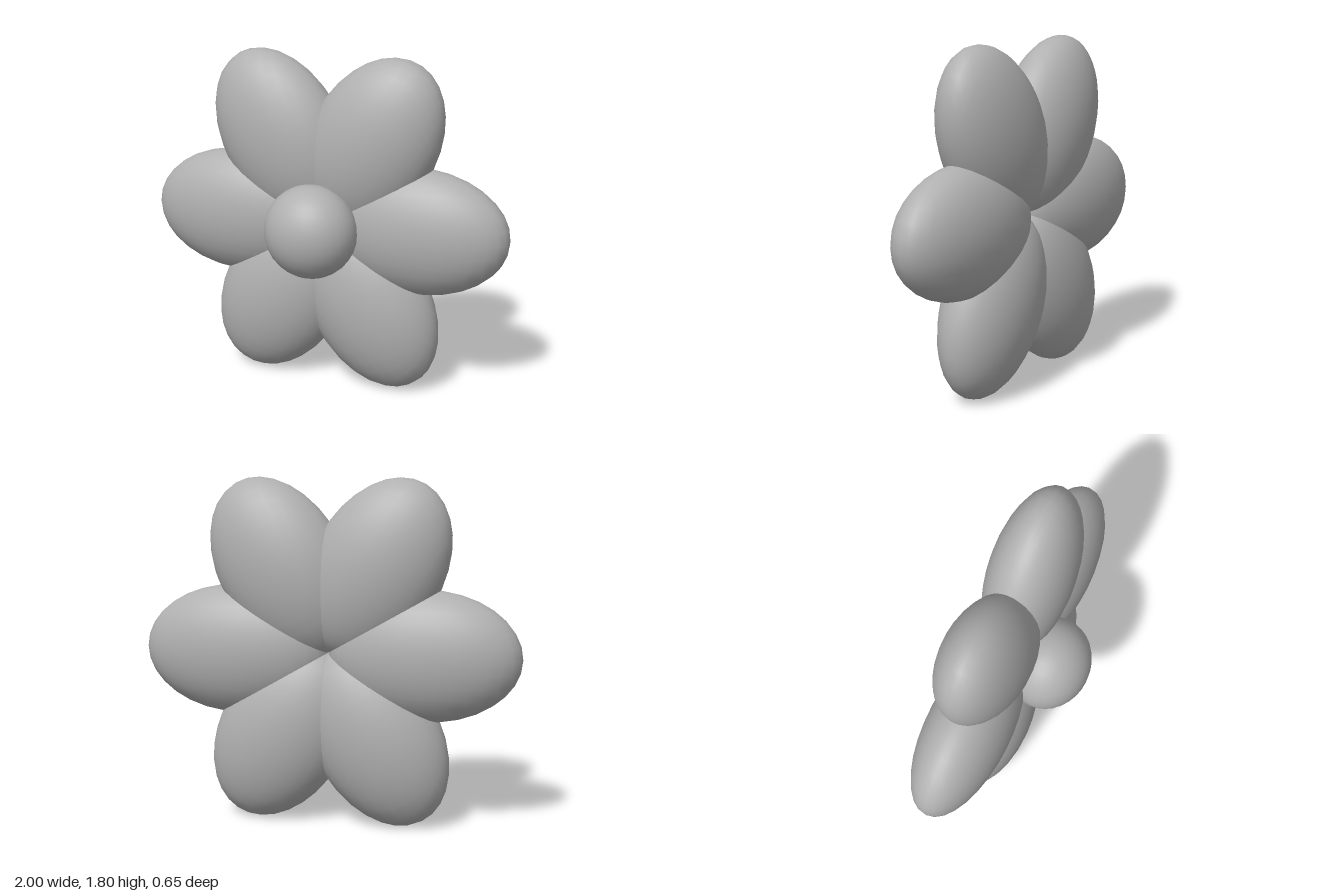
import * as THREE from 'three';

export function createModel() {
  const flower = new THREE.Group();
  flower.name = 'flower';

  const grey = new THREE.MeshStandardMaterial({ color: 0xb0b0b0 });
  grey.name = 'grey';

  const centreY = 0.897;
  const depth = 0.217; // half thickness shared by petals and centre
  const ball = new THREE.SphereGeometry(1, 32, 16);

  // Six ellipsoid petals, each reaching from the middle to the tip
  const petals = new THREE.Group();
  petals.name = 'petals';
  petals.position.set(0, centreY, -0.11);
  const petalGeometry = ball.clone().scale(0.5, 0.34, depth).translate(0.5, 0, 0);
  for (let i = 0; i < 6; i++) {
    const petal = new THREE.Mesh(petalGeometry, grey);
    petal.name = `petal${i + 1}`;
    petal.rotation.z = (i * Math.PI) / 3;
    petals.add(petal);
  }
  flower.add(petals);

  // Slightly flattened round centre on the front
  const centre = new THREE.Mesh(ball.clone().scale(0.248, 0.248, depth), grey);
  centre.name = 'flowerCentre';
  centre.position.set(0, centreY, 0.11);
  flower.add(centre);

  return flower;
}
